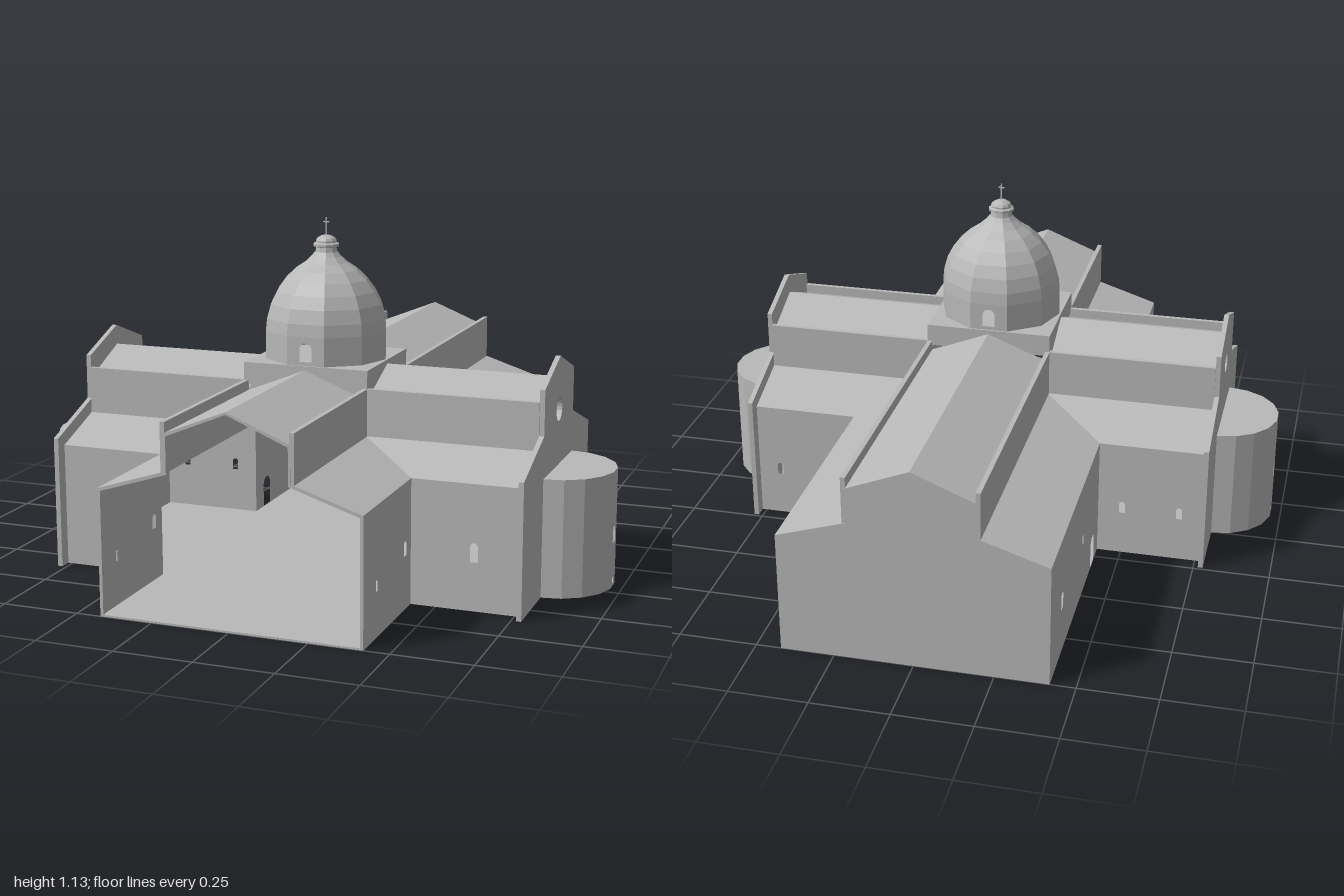
import * as THREE from 'three';

const stone = new THREE.MeshStandardMaterial({ color: 0xb8b8b8, side: THREE.DoubleSide, flatShading: true });
stone.name = 'stone grey';

// Main dimensions
const ZC = 0.185;                       // centre line of the transept
const AISLE = 0.42, NAVE = 0.2;         // half widths of the nave arm
const T_AISLE = 0.385, T_NAVE = 0.19;   // half widths of the transept
const END = 0.765;                      // transept end
const EAVE = 0.4, LEAN = 0.47, PARAPET = 0.62, TOP_EAVE = 0.585, RIDGE = 0.665;

function add(parent, name, geometry) {
  const mesh = new THREE.Mesh(geometry, stone);
  mesh.name = name;
  parent.add(mesh);
  return mesh;
}

function box(parent, name, x0, x1, y0, y1, z0, z1) {
  const g = new THREE.BoxGeometry(Math.abs(x1 - x0), y1 - y0, Math.abs(z1 - z0));
  g.translate((x0 + x1) / 2, (y0 + y1) / 2, (z0 + z1) / 2);
  return add(parent, name, g);
}

const polygon = (pts) => new THREE.Shape(pts.map(([x, y]) => new THREE.Vector2(x, y)));

function windowPath(u, y0, y1, w) {
  const p = new THREE.Path();
  p.moveTo(u - w / 2, y0);
  p.lineTo(u + w / 2, y0);
  p.lineTo(u + w / 2, y1 - w / 3);
  p.lineTo(u + w / 4, y1);
  p.lineTo(u - w / 4, y1);
  p.lineTo(u - w / 2, y1 - w / 3);
  p.closePath();
  return p;
}

// Upright wall between ground points a and b, windows as [u, y0, y1, width]
function wall(parent, name, a, b, y0, y1, windows = []) {
  const dir = new THREE.Vector3(b[0] - a[0], 0, b[1] - a[1]);
  const len = dir.length();
  dir.normalize();
  const s = polygon([[0, y0], [len, y0], [len, y1], [0, y1]]);
  windows.forEach((w) => s.holes.push(windowPath(...w)));
  const up = new THREE.Vector3(0, 1, 0);
  const m = new THREE.Matrix4().makeBasis(dir, up, dir.clone().cross(up)).setPosition(a[0], 0, a[1]);
  return add(parent, name, new THREE.ShapeGeometry(s).applyMatrix4(m));
}

// Four-cornered roof slope, turned to face up
function slope(parent, name, a, b, c, d) {
  const v = [a, b, c, d].map((p) => new THREE.Vector3(...p));
  const n = v[1].clone().sub(v[0]).cross(v[2].clone().sub(v[0]));
  if (n.y < 0) v.reverse();
  const g = new THREE.BufferGeometry().setFromPoints([v[0], v[1], v[2], v[0], v[2], v[3]]);
  g.computeVertexNormals();
  return add(parent, name, g);
}

const house = (w, n, base, eave, lean, top, ridge) => [
  [-w, base], [w, base], [w, eave], [n, lean], [n, top], [0, ridge], [-n, top], [-n, lean], [-w, eave]];

function buildNave(root) {
  const nave = new THREE.Group();
  nave.name = 'nave';
  root.add(nave);
  for (const s of [1, -1]) {
    // Each arm runs from the transept to its end at z = 1 or z = -1
    for (const e of [1, -1]) {
      const zIn = ZC + e * T_AISLE, zMid = ZC + e * T_NAVE;
      const holes = e > 0
        ? [[0.885 - zIn, 0.14, 0.175, 0.012], [0.625 - zIn, 0.17, 0.215, 0.025]]
        : [[zIn + 0.3, 0.002, 0.105, 0.06], [zIn + 0.48, 0.18, 0.215, 0.016], [zIn + 0.82, 0.155, 0.21, 0.03]];
      wall(nave, 'aisleWall', [s * AISLE, zIn], [s * AISLE, e], 0, EAVE, holes);
      slope(nave, 'aisleRoof', [s * AISLE, EAVE, zIn], [s * AISLE, EAVE, e], [s * NAVE, LEAN, e], [s * NAVE, LEAN, zMid]);
      box(nave, 'upperWall', s * (NAVE - 0.005), s * (NAVE + 0.01), LEAN - 0.005, PARAPET, zMid, e * 0.998);
      slope(nave, 'naveRoof', [s * NAVE, TOP_EAVE, zMid], [s * NAVE, TOP_EAVE, e], [0, RIDGE, e], [0, RIDGE, zMid]);
    }
  }
  const outline = house(AISLE, NAVE, 0, EAVE, LEAN, TOP_EAVE, RIDGE);
  const back = add(nave, 'backWall', new THREE.ShapeGeometry(polygon(outline)));
  back.rotation.y = Math.PI;
  back.position.z = -1;
  // Thin rim around the open front
  const rim = polygon(outline);
  rim.holes.push(polygon(house(AISLE - 0.01, NAVE - 0.008, 0.006, EAVE - 0.008, LEAN - 0.008, TOP_EAVE - 0.008, RIDGE - 0.008)));
  add(nave, 'frontRim', new THREE.ExtrudeGeometry(rim, { depth: 0.01, bevelEnabled: false })).position.z = 0.99;
}

function buildTransept(root, s) {
  const arm = new THREE.Group();
  arm.name = s > 0 ? 'leftTransept' : 'rightTransept';
  root.add(arm);
  for (const e of [1, -1]) {
    const zOut = ZC + e * T_AISLE, zMid = ZC + e * T_NAVE;
    const holes = e > 0 ? [[0.2, 0.155, 0.215, 0.025]] : [[0.08, 0.15, 0.19, 0.02], [0.27, 0.15, 0.19, 0.02]];
    wall(arm, 'aisleWall', [s * AISLE, zOut], [s * END, zOut], 0, EAVE, holes);
    slope(arm, 'aisleRoof', [s * AISLE, EAVE, zOut], [s * END, EAVE, zOut], [s * END, LEAN, zMid], [s * NAVE, LEAN, zMid]);
    box(arm, 'upperWall', s * NAVE, s * END, LEAN - 0.005, PARAPET, zMid - e * 0.01, zMid + e * 0.005);
    slope(arm, 'transeptRoof', [s * NAVE, TOP_EAVE, zMid], [s * END, TOP_EAVE, zMid], [s * END, RIDGE, ZC], [s * NAVE, RIDGE, ZC]);
  }

  // Gable plate with round window and an opening into the apse
  const plate = polygon(house(0.425, T_NAVE, 0, 0.43, 0.515, 0.66, 0.73));
  const round = new THREE.Path();
  round.absarc(0, 0.56, 0.038, 0, Math.PI * 2, true);
  plate.holes.push(round, polygon([[-0.17, 0.005], [-0.17, 0.36], [0.17, 0.36], [0.17, 0.005]]));
  const g = new THREE.ExtrudeGeometry(plate, { depth: 0.016, bevelEnabled: false, curveSegments: 10 });
  g.rotateY(Math.PI / 2);
  add(arm, 'gableWall', g).position.set(s > 0 ? END : -END - 0.016, 0, ZC);

  // Apse: half-round ring of flat panels under a flat roof
  const n = 9, r = 0.19, x0 = s * (END + 0.014), h = s > 0 ? 0.38 : 0.372;
  const at = (i) => {
    const a = (i / n - 0.5) * Math.PI;
    return [x0 + s * r * Math.cos(a), ZC + r * Math.sin(a)];
  };
  for (let i = 0; i < n; i++) {
    const mid = i === (n - 1) / 2;
    wall(arm, 'apseWall', at(i), at(i + 1), 0, h, mid ? [[0.033, 0.145, 0.195, 0.032], [0.033, 0.01, 0.03, 0.014]] : []);
  }
  for (const [name, y] of [['apseRoof', h], ['apseFloor', 0]]) {
    const disc = new THREE.CircleGeometry(r, n, -Math.PI / 2, Math.PI);
    disc.rotateX(y ? -Math.PI / 2 : Math.PI / 2);
    if (s < 0) disc.rotateY(Math.PI);
    add(arm, name, disc).position.set(x0, y, ZC);
  }
}

function buildDome(root) {
  const dome = new THREE.Group();
  dome.name = 'dome';
  dome.position.z = ZC;
  dome.scale.z = 0.97;
  root.add(dome);
  box(dome, 'domeBase', -0.21, 0.21, 0.605, 0.678, -0.2, 0.2);

  // Drum panels, pierced at front and back
  const n = 10, R = 0.204, yDrum = 0.77;
  const at = (i) => {
    const a = ((i - 0.5) / n) * Math.PI * 2;
    return [R * Math.sin(a), R * Math.cos(a)];
  };
  const half = R * Math.sin(Math.PI / n);
  for (let i = 0; i < n; i++) {
    wall(dome, 'drumPanel', at(i), at(i + 1), 0.675, yDrum, i % 5 === 0 ? [[half, 0.69, 0.75, 0.042]] : []);
  }
  const lathe = (pts) => new THREE.LatheGeometry(pts.map(([r, y]) => new THREE.Vector2(r, y)), n, Math.PI / n);
  add(dome, 'domeShell', lathe([[R, yDrum], [0.2, 0.81], [0.187, 0.855], [0.166, 0.895], [0.138, 0.932],
    [0.105, 0.963], [0.072, 0.985], [0.05, 1.005], [0.038, 1.02]]));
  add(dome, 'lantern', lathe([[0.038, 1.015], [0.034, 1.035], [0.043, 1.038], [0.043, 1.046], [0.035, 1.05],
    [0.035, 1.056], [0.03, 1.064], [0.016, 1.072], [0, 1.075]]));
  box(dome, 'crossPost', -0.002, 0.002, 1.07, 1.13, -0.002, 0.002);
  box(dome, 'crossArm', -0.01, 0.01, 1.114, 1.118, -0.002, 0.002);
}

export function createModel() {
  const root = new THREE.Group();
  root.name = 'domedChurch';

  // Cross-shaped floor
  const zf = ZC + T_AISLE, zb = ZC - T_AISLE;
  const floor = polygon([[-AISLE, -1], [AISLE, -1], [AISLE, zb], [END, zb], [END, zf], [AISLE, zf],
    [AISLE, 1], [-AISLE, 1], [-AISLE, zf], [-END, zf], [-END, zb], [-AISLE, zb]]);
  add(root, 'floor', new THREE.ShapeGeometry(floor).rotateX(Math.PI / 2));

  buildNave(root);
  buildTransept(root, 1);
  buildTransept(root, -1);
  buildDome(root);
  return root;
}
